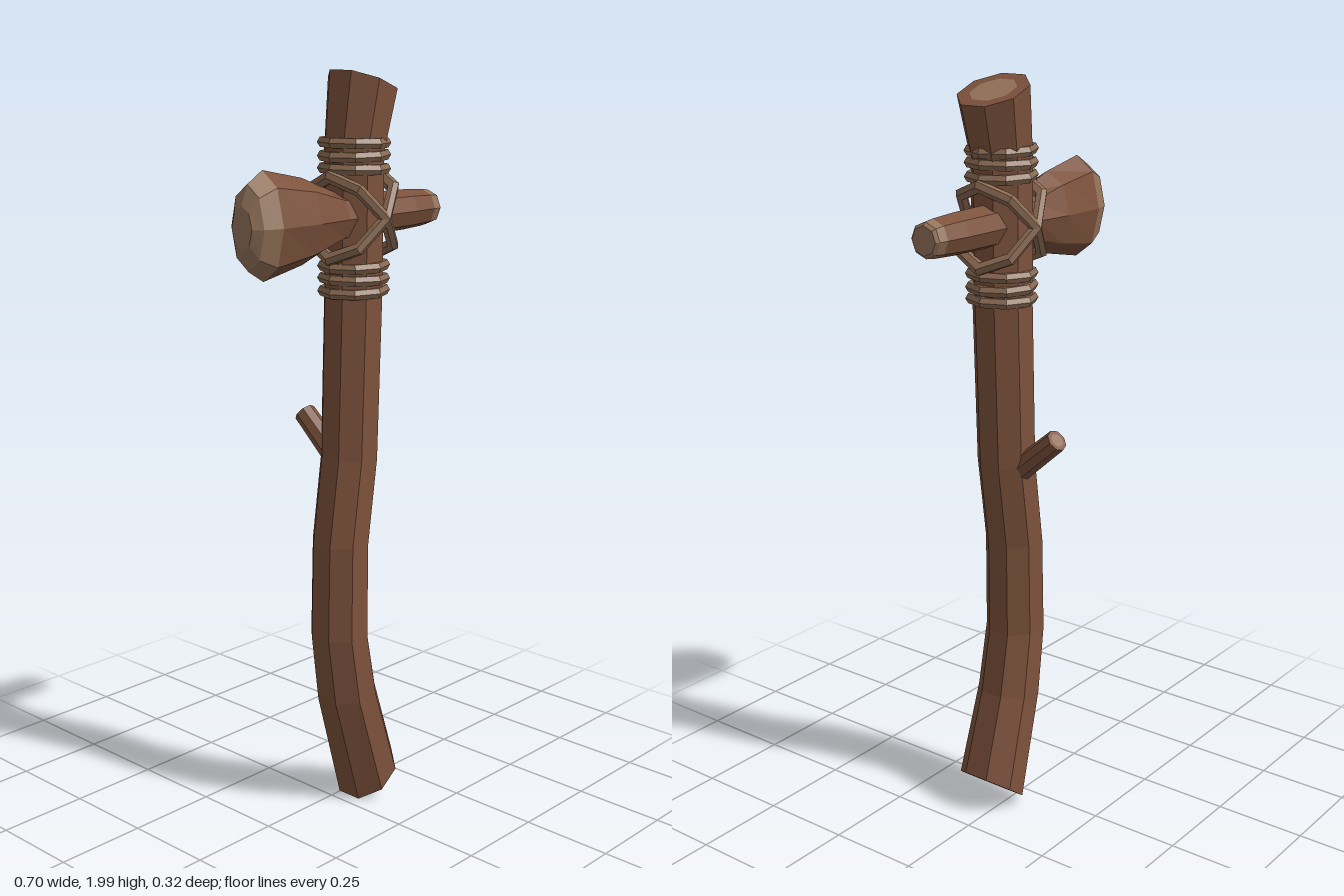
import * as THREE from 'three';

const BARK = 0x7d523c, PALE = 0x94735a, ROPE = 0x8a6a52;
const Z = 0.034; // depth of the handle axis
const HEAD_Y = 1.635;

function material(color) {
  return new THREE.MeshStandardMaterial({ color, flatShading: true });
}

function addMesh(parent, name, geometry, color) {
  const mesh = new THREE.Mesh(geometry, material(color));
  mesh.name = name;
  parent.add(mesh);
  return mesh;
}

// Skin over rings given as { c, u, v }: centre and two scaled half axes, u x v pointing along the loft
function loft(rings, { sides = 8, turn = 0, capStart = false, capEnd = false } = {}) {
  const pos = [], index = [];
  for (const { c, u, v } of rings) {
    for (let j = 0; j < sides; j++) {
      const a = turn + (j / sides) * Math.PI * 2;
      const p = c.clone().addScaledVector(u, Math.cos(a)).addScaledVector(v, Math.sin(a));
      pos.push(p.x, p.y, p.z);
    }
  }
  const last = (rings.length - 1) * sides;
  for (let i = 0; i < last; i += sides) {
    for (let j = 0; j < sides; j++) {
      const k = (j + 1) % sides;
      index.push(i + j, i + k, i + sides + k, i + j, i + sides + k, i + sides + j);
    }
  }
  for (let j = 1; j < sides - 1; j++) {
    if (capStart) index.push(0, j + 1, j);
    if (capEnd) index.push(last, last + j, last + j + 1);
  }
  const g = new THREE.BufferGeometry();
  g.setAttribute('position', new THREE.Float32BufferAttribute(pos, 3));
  g.setIndex(index);
  g.computeVertexNormals();
  return g;
}

// Ring of the handle: tilt leans it in the front plane
function handleRing([x, y, r, tilt], scale = 1) {
  const s = (r * scale) / Math.cos(Math.PI / 8);
  return {
    c: new THREE.Vector3(x, y, Z),
    u: new THREE.Vector3(0, 0, s),
    v: new THREE.Vector3(Math.cos(tilt) * s, Math.sin(tilt) * s, 0),
  };
}

// Ring of the head: upright oval at x
function headRing([x, ry, rz]) {
  return {
    c: new THREE.Vector3(x, HEAD_Y, Z),
    u: new THREE.Vector3(0, ry, 0),
    v: new THREE.Vector3(0, 0, rz),
  };
}

function buildHandle() {
  const group = new THREE.Group();
  group.name = 'handle';
  const path = [
    [0.105, 0.062, 0.087, 0.645],
    [0.024, 0.33, 0.079, 0.1],
    [-0.006, 0.51, 0.075, 0],
    [-0.002, 0.77, 0.073, -0.03],
    [0.031, 1.0, 0.073, -0.03],
    [0.045, 1.43, 0.074, 0],
    [0.047, 1.8, 0.075, -0.06],
    [0.078, 1.967, 0.088, -0.375],
  ];
  const turn = Math.PI / 8;
  const bottom = path[0], top = path[path.length - 1];
  const rings = path.map((p) => handleRing(p));
  // bark shaft with a rim at each cut end
  addMesh(group, 'shaft', loft([handleRing(bottom, 0.65), ...rings, handleRing(top, 0.65)], { turn }), BARK);
  // pale cut wood
  addMesh(group, 'bottomCut', loft([handleRing(bottom, 0.65)], { turn, capStart: true }), PALE);
  addMesh(group, 'topCut', loft([handleRing(top, 0.65)], { turn, capEnd: true }), PALE);
  return group;
}

function buildHead() {
  const group = new THREE.Group();
  group.name = 'head';
  const face = [[-0.35, 0.055, 0.035], [-0.33, 0.105, 0.057], [-0.28, 0.135, 0.073]].map(headRing);
  const body = [[-0.28, 0.135, 0.073], [-0.145, 0.108, 0.073], [-0.03, 0.066, 0.06],
    [0.1, 0.055, 0.056], [0.24, 0.053, 0.054], [0.315, 0.049, 0.048]].map(headRing);
  const tip = [[0.315, 0.049, 0.048], [0.342, 0.045, 0.045], [0.35, 0.037, 0.037]].map(headRing);
  addMesh(group, 'strikingFace', loft(face, { capStart: true }), PALE);
  addMesh(group, 'headBody', loft(body), BARK);
  addMesh(group, 'pegTip', loft(tip, { capEnd: true }), PALE);
  return group;
}

function buildBindings() {
  const group = new THREE.Group();
  group.name = 'bindings';
  // wound rings above and below the head
  [1.82, 1.788, 1.755, 1.508, 1.475, 1.443].forEach((y, i) => {
    const ring = addMesh(group, 'ropeRing', new THREE.TorusGeometry(0.08, 0.0145, 6, 8).rotateX(Math.PI / 2), ROPE);
    ring.position.set(0.047, y, Z);
    ring.rotation.z = (i % 2 ? 1 : -1) * 0.02;
  });
  // two loops crossing over the head
  for (const side of [-1, 1]) {
    const geometry = new THREE.TorusGeometry(0.109, 0.0155, 6, 8).rotateX(Math.PI / 2).scale(1.26, 1, 1);
    const loop = addMesh(group, 'crossLoop', geometry, ROPE);
    loop.position.set(0.047, HEAD_Y, Z);
    loop.rotation.z = side * 0.85;
  }
  return group;
}

function buildTwig() {
  const group = new THREE.Group();
  group.name = 'twig';
  const base = new THREE.Vector3(0.036, 0.985, -0.015);
  const tip = new THREE.Vector3(0.04, 1.09, -0.138);
  const length = base.distanceTo(tip);
  addMesh(group, 'twigStem', new THREE.CylinderGeometry(0.03, 0.033, length, 8), BARK);
  const cut = addMesh(group, 'twigCut', new THREE.CircleGeometry(0.019, 8).rotateX(-Math.PI / 2), PALE);
  cut.position.y = length / 2 + 0.001;
  group.position.copy(base).lerp(tip, 0.5);
  group.quaternion.setFromUnitVectors(new THREE.Vector3(0, 1, 0), tip.clone().sub(base).normalize());
  return group;
}

export function createModel() {
  const model = new THREE.Group();
  model.name = 'boundHammer';
  model.add(buildHandle(), buildHead(), buildBindings(), buildTwig());
  return model;
}
